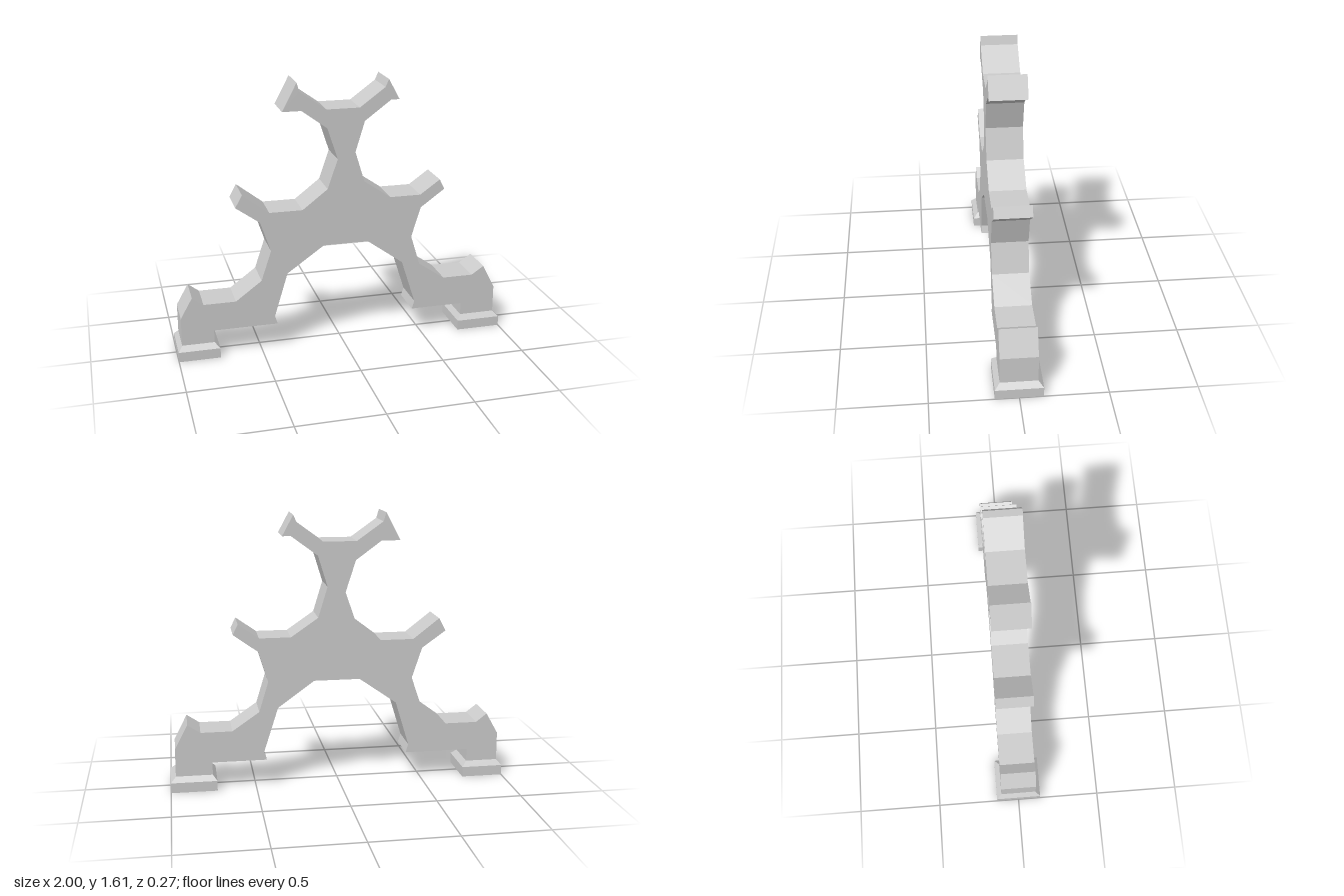
import * as THREE from 'three';

const DEPTH = 0.107; // half thickness of the frame
const material = new THREE.MeshStandardMaterial({ color: 0xcccccc, flatShading: true, side: THREE.DoubleSide });

// Frame outline, clockwise from the outer edge of the right ankle to its inner edge
const outline = [
  [-0.975, 0.09], [-0.975, 0.26], [-0.905, 0.385], [-0.84, 0.335], [-0.65, 0.335], [-0.495, 0.45],
  [-0.435, 0.63], [-0.495, 0.81], [-0.635, 0.91], [-0.595, 0.985], [-0.44, 0.865], [-0.245, 0.865],
  [-0.095, 0.98], [-0.035, 1.155], [-0.095, 1.34], [-0.245, 1.45], [-0.355, 1.45], [-0.27, 1.612],
  [-0.255, 1.56], [-0.1, 1.45], [0.095, 1.45], [0.245, 1.56], [0.265, 1.605], [0.33, 1.485],
  [0.28, 1.485], [0.125, 1.37], [0.07, 1.19], [0.125, 1.01], [0.285, 0.9], [0.47, 0.9],
  [0.59, 0.985], [0.62, 0.925], [0.475, 0.82], [0.42, 0.64], [0.475, 0.46], [0.635, 0.35],
  [0.82, 0.35], [0.895, 0.4], [0.97, 0.255], [0.97, 0.09], [0.755, 0.09], [0.755, 0.165],
  [0.435, 0.165], [0.45, 0.215], [0.365, 0.48], [0.15, 0.635], [-0.12, 0.635], [-0.34, 0.48],
  [-0.42, 0.215], [-0.405, 0.165], [-0.785, 0.165], [-0.785, 0.09],
];

function quadMesh(name, quads) {
  const pos = [];
  for (const [a, b, c, d] of quads) pos.push(...a, ...b, ...c, ...a, ...c, ...d);
  const geometry = new THREE.BufferGeometry();
  geometry.setAttribute('position', new THREE.Float32BufferAttribute(pos, 3));
  geometry.computeVertexNormals();
  const mesh = new THREE.Mesh(geometry, material);
  mesh.name = name;
  return mesh;
}

function createFrame() {
  const frame = new THREE.Group();
  frame.name = 'branchingFrame';

  // Flat front and back plates
  const shape = new THREE.Shape(outline.map(([x, y]) => new THREE.Vector2(x, y)));
  const front = new THREE.ShapeGeometry(shape).translate(0, 0, DEPTH);
  const back = front.clone().translate(0, 0, -2 * DEPTH);
  back.setIndex([...back.index.array].reverse());
  back.computeVertexNormals();
  for (const [name, geometry] of [['frontPlate', front], ['backPlate', back]]) {
    const mesh = new THREE.Mesh(geometry, material);
    mesh.name = name;
    frame.add(mesh);
  }

  // Rim between the plates; the ankles stay open into the hollow feet
  const quads = [];
  outline.forEach(([ax, ay], i) => {
    const [bx, by] = outline[(i + 1) % outline.length];
    if (ay === 0.09 && by === 0.09) return;
    quads.push([[ax, ay, DEPTH], [bx, by, DEPTH], [bx, by, -DEPTH], [ax, ay, -DEPTH]]);
  });
  frame.add(quadMesh('rim', quads));
  return frame;
}

// Hollow foot: upright skirt, then a bevel up to the ankle
function createFoot(name, outer, ankle) {
  const ring = ([x0, x1], z, y) => [[x0, y, z], [x1, y, z], [x1, y, -z], [x0, y, -z]];
  const rings = [ring(outer, 0.136, 0), ring(outer, 0.136, 0.06), ring(ankle, DEPTH, 0.09)];
  const quads = [];
  for (let r = 0; r < 2; r++) {
    for (let i = 0; i < 4; i++) {
      const j = (i + 1) % 4;
      quads.push([rings[r][i], rings[r][j], rings[r + 1][j], rings[r + 1][i]]);
    }
  }
  return quadMesh(name, quads);
}

export function createModel() {
  const model = new THREE.Group();
  model.name = 'branchingStand';
  model.add(
    createFrame(),
    createFoot('rightFoot', [-1, -0.755], [-0.975, -0.785]),
    createFoot('leftFoot', [0.73, 1], [0.97, 0.755].reverse()),
  );
  return model;
}
